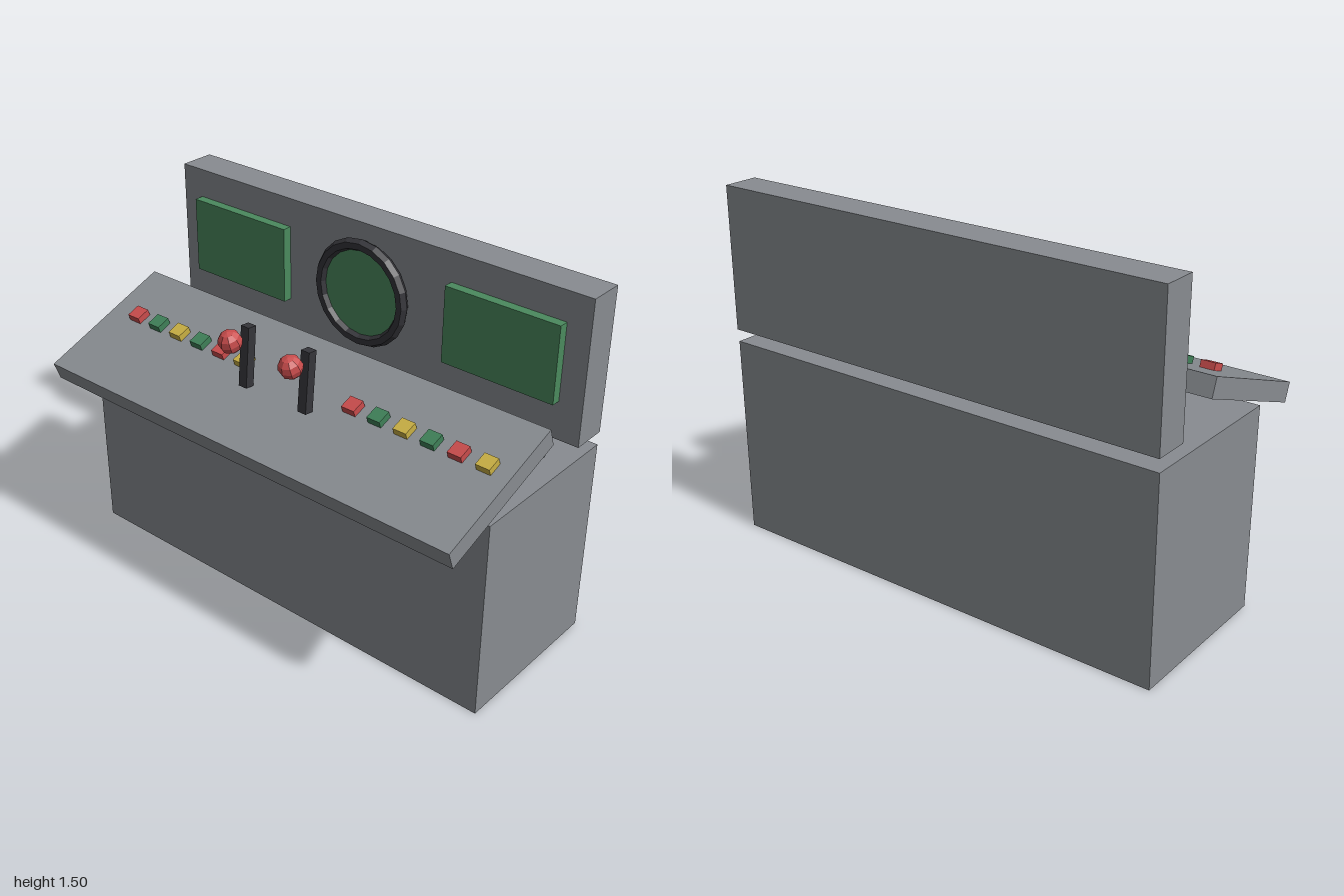
import * as THREE from 'three';

const mat = (name, color, flatShading = true) => {
  const m = new THREE.MeshStandardMaterial({ color, flatShading });
  m.name = name;
  return m;
};

export function createModel() {
  const model = new THREE.Group();
  model.name = 'controlConsole';

  const grey = mat('casingGrey', 0x888c91);
  const dark = mat('darkTrim', 0x35353a);
  const screenGreen = mat('screenGreen', 0x4b8a5e);
  const red = mat('red', 0xc94c4c);
  const green = mat('buttonGreen', 0x3f8058);
  const yellow = mat('yellow', 0xc9b044);

  const add = (name, geometry, material, x, y, z, rx = 0, parent = model) => {
    const mesh = new THREE.Mesh(geometry, material);
    mesh.name = name;
    mesh.position.set(x, y, z);
    mesh.rotation.x = rx;
    parent.add(mesh);
    return mesh;
  };

  const tilt = 0.35;

  // Cabinet, sloping desk and upright back panel
  add('cabinet', new THREE.BoxGeometry(2, 0.85, 0.7), grey, 0, 0.425, -0.115);
  add('slopingDesk', new THREE.BoxGeometry(2, 0.08, 0.62), grey, 0, 0.933, 0.167, tilt);
  add('backPanel', new THREE.BoxGeometry(2, 0.6, 0.15), grey, 0, 1.203, -0.395);

  // Side screens
  const screen = new THREE.BoxGeometry(0.5, 0.32, 0.05);
  for (const side of [-1, 1]) {
    add(side < 0 ? 'rightScreen' : 'leftScreen', screen, screenGreen, side * 0.65, 1.222, -0.305);
  }

  // Round screen and its rim
  add('roundScreen', new THREE.CylinderGeometry(0.2, 0.2, 0.05, 20), screenGreen, 0, 1.223, -0.307, Math.PI / 2);
  add('roundScreenRim', new THREE.TorusGeometry(0.202, 0.025, 6, 20), dark, 0, 1.225, -0.285);

  // Two rows of six buttons
  const button = new THREE.BoxGeometry(0.06, 0.03, 0.06);
  const colours = [red, green, yellow, green, red, yellow];
  for (const start of [-0.85, 0.3]) {
    colours.forEach((colour, i) => {
      add('button', button, colour, start + i * 0.12, 1.006, 0.123, tilt);
    });
  }

  // Levers with faceted knobs
  const rod = new THREE.BoxGeometry(0.04, 0.25, 0.04);
  const ball = new THREE.SphereGeometry(0.048, 8, 6);
  for (const x of [-0.15, 0.15]) {
    const lever = new THREE.Group();
    lever.name = x < 0 ? 'rightLever' : 'leftLever';
    add('leverRod', rod, dark, x, 1.094, 0.209, -0.09, lever);
    add('leverKnob', ball, red, x, 1.19, 0.298, tilt, lever);
    model.add(lever);
  }

  // Mug on the cabinet behind the desk
  const mug = new THREE.Group();
  mug.name = 'mug';
  add('mugBody', new THREE.CylinderGeometry(0.04, 0.045, 0.1, 8), grey, 0, 0.05, 0, 0, mug);
  add('mugHandle', new THREE.TorusGeometry(0.032, 0.007, 6, 12), grey, 0.042, 0.053, 0, 0, mug);
  mug.position.set(0.85, 0.85, -0.215);
  model.add(mug);

  return model;
}
